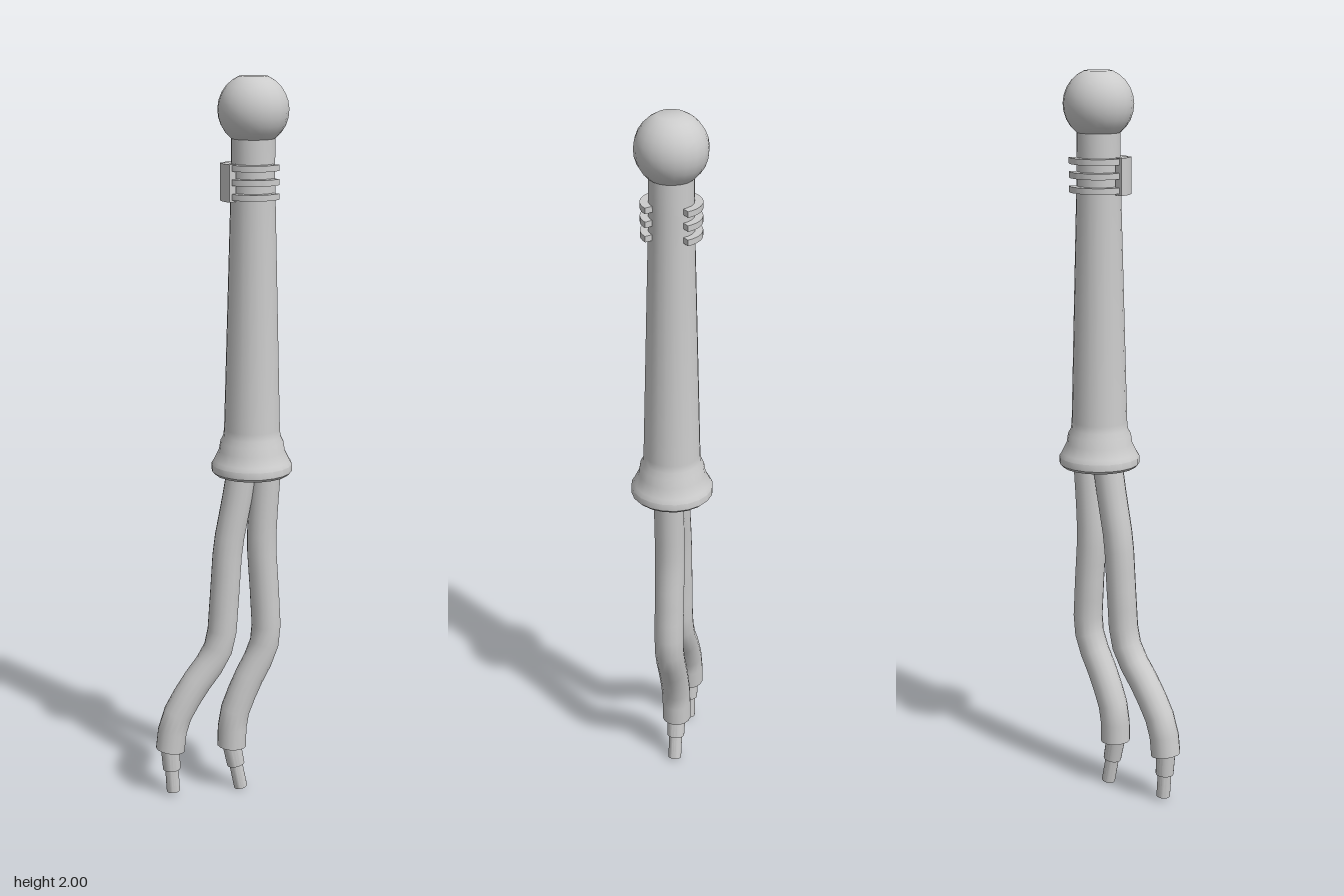
import * as THREE from 'three';
import { toCreasedNormals } from 'three/addons/utils/BufferGeometryUtils.js';

const AXIS_X = 0.079;
const material = new THREE.MeshStandardMaterial({ color: 0xcccccc });

function addMesh(parent, name, geometry) {
  const mesh = new THREE.Mesh(geometry, material);
  mesh.name = name;
  parent.add(mesh);
  return mesh;
}

// Turned part from [radius, height] pairs, listed bottom to top
function turned(points) {
  const profile = points.map(([r, y]) => new THREE.Vector2(r, y));
  return toCreasedNormals(new THREE.LatheGeometry(profile, 20), 0.6);
}

// Curved strip around the axis: radii, angles in degrees (0 = +x, 90 = front), height range
function arcStrip(inner, outer, from, to, y0, y1) {
  const a = THREE.MathUtils.degToRad(from), b = THREE.MathUtils.degToRad(to);
  const shape = new THREE.Shape();
  shape.absarc(0, 0, outer, a, b, false);
  shape.absarc(0, 0, inner, b, a, true);
  const geometry = new THREE.ExtrudeGeometry(shape, { depth: y1 - y0, bevelEnabled: false, curveSegments: 16 });
  geometry.rotateX(-Math.PI / 2);
  geometry.translate(0, y0, 0);
  return toCreasedNormals(geometry, 0.6);
}

// Bent cable with a stepped plug on its lower end
function makeCable(name, points, tip) {
  const cable = new THREE.Group();
  cable.name = name;
  const path = points.map(([x, y]) => new THREE.Vector3(x, y, 0));
  const curve = new THREE.CatmullRomCurve3(path, false, 'centripetal');
  addMesh(cable, 'cableSleeve', new THREE.TubeGeometry(curve, 16, 0.041, 16));

  const end = path[path.length - 1];
  const direction = new THREE.Vector3(tip[0], tip[1], 0).sub(end);
  const length = direction.length();
  direction.normalize();
  const up = new THREE.Vector3(0, -1, 0);

  // Disc closing the sleeve
  const cap = addMesh(cable, 'sleeveEnd', new THREE.CircleGeometry(0.041, 16));
  cap.position.copy(end);
  cap.quaternion.setFromUnitVectors(new THREE.Vector3(0, 0, 1), curve.getTangent(1));

  // Plug: wide collar followed by a narrow pin
  const plug = addMesh(cable, 'plug', turned([
    [0, -0.02], [0.027, -0.02], [0.025, 0.06], [0.019, 0.061], [0.019, length], [0, length],
  ].map(([r, y]) => [r, -y]).reverse()));
  plug.position.copy(end);
  plug.quaternion.setFromUnitVectors(up, direction);
  return cable;
}

export function createModel() {
  const model = new THREE.Group();
  model.name = 'handleWithCables';

  const handle = new THREE.Group();
  handle.name = 'handle';
  handle.position.x = AXIS_X;
  model.add(handle);

  // Tapered shaft with a flared foot
  addMesh(handle, 'shaft', turned([
    [0, 0.935], [0.102, 0.935], [0.11, 0.943], [0.11, 0.962], [0.103, 0.973], [0.09, 1.0],
    [0.086, 1.025], [0.078, 1.04], [0.076, 1.06], [0.058, 1.75], [0.058, 1.85],
  ]));

  // Ball knob with a flat top
  const ball = [];
  const rings = 12, flat = 0.41;
  for (let i = 0; i <= rings; i++) {
    const t = Math.PI - (i / rings) * (Math.PI - flat);
    ball.push([0.094 * Math.sin(t), 1.914 + 0.094 * Math.cos(t)]);
  }
  ball.push([0, 2.0]);
  addMesh(handle, 'ballKnob', turned(ball));

  // Open clip: three bands joined by an upright strip
  const clip = new THREE.Group();
  clip.name = 'clip';
  handle.add(clip);
  // Extruded shapes turn with +y towards the back, so front angles are negative
  for (const y of [1.685, 1.723, 1.76]) {
    addMesh(clip, 'clipBand', arcStrip(0.056, 0.079, 43, 317, y, y + 0.016));
  }
  addMesh(clip, 'clipStrip', arcStrip(0.064, 0.087, 172, 212, 1.68, 1.778));

  // Two cables hanging from the foot
  model.add(makeCable('rightCable', [
    [0.055, 0.97], [0.035, 0.85], [0.013, 0.73], [0.002, 0.58], [-0.016, 0.43],
    [-0.095, 0.31], [-0.142, 0.22], [-0.154, 0.14],
  ], [-0.146, 0.012]));
  model.add(makeCable('leftCable', [
    [0.122, 0.97], [0.113, 0.85], [0.108, 0.73], [0.117, 0.58], [0.118, 0.44],
    [0.06, 0.31], [0.028, 0.22], [0.024, 0.135],
  ], [0.05, 0.005]));

  return model;
}
